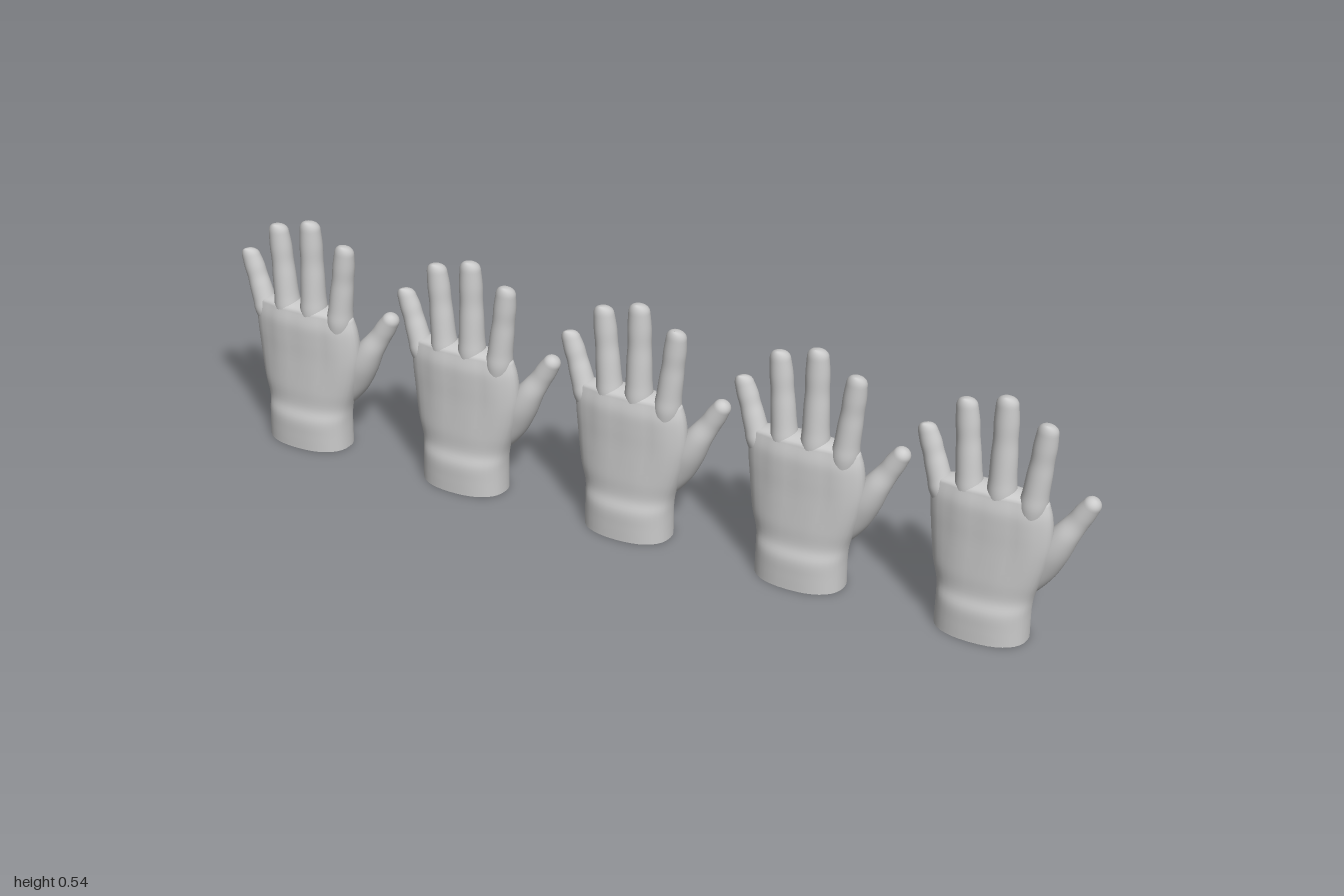
import * as THREE from 'three';

const skin = new THREE.MeshStandardMaterial({ color: 0xcccccc, side: THREE.DoubleSide });
const SIDES = 36;

// Smoothly interpolated station [x, y, z, halfWidth, halfDepth]
function stationAt(stations, t) {
  const n = stations.length - 1;
  const f = Math.min(t * n, n - 1e-9);
  const i = Math.floor(f);
  const w = f - i;
  const at = (k) => stations[Math.max(0, Math.min(n, k))];
  return stations[0].map((_, c) => {
    const a = at(i - 1)[c], b = at(i)[c], d = at(i + 1)[c], e = at(i + 2)[c];
    const m0 = (d - a) / 2, m1 = (e - b) / 2;
    return b + w * (m0 + w * (3 * (d - b) - 2 * m0 - m1 + w * (2 * (b - d) + m0 + m1)));
  });
}

// Skin of superelliptic rings along the stations, ending in a rounded tip
function sweep(stations, { steps = 30, cap = 0.02, lean = 0, power = 2, level = false, shape = null } = {}) {
  const rings = [];
  for (let i = 0; i <= steps; i++) rings.push(stationAt(stations, i / steps));
  const last = rings[steps], prev = rings[steps - 1];
  const dir = level ? new THREE.Vector2(0, 1)
    : new THREE.Vector2(last[0] - prev[0], last[1] - prev[1]).normalize();
  for (let k = 1; k <= 7; k++) {
    const a = (k / 7) * Math.PI / 2;
    const s = Math.max(Math.cos(a), 0.01);
    rings.push([last[0] + dir.x * cap * Math.sin(a), last[1] + dir.y * cap * Math.sin(a),
      last[2] + lean * (1 - s), last[3] * s, last[4] * s]);
  }

  const positions = [], index = [];
  const bend = (v) => Math.sign(v) * Math.abs(v) ** (2 / power);
  rings.forEach((r, i) => {
    const a = rings[Math.max(0, i - 1)], b = rings[Math.min(rings.length - 1, i + 1)];
    const along = level ? dir : new THREE.Vector2(b[0] - a[0], b[1] - a[1]).normalize();
    for (let j = 0; j < SIDES; j++) {
      const t = (j / SIDES) * Math.PI * 2;
      const side = r[3] * bend(Math.cos(t));
      const p = new THREE.Vector3(r[0] + along.y * side, r[1] - along.x * side, r[2] + r[4] * bend(Math.sin(t)));
      if (shape) shape(p, Math.sin(t));
      positions.push(p.x, p.y, p.z);
      if (i < rings.length - 1) {
        const q = i * SIDES + j, n = i * SIDES + (j + 1) % SIDES;
        index.push(q, q + SIDES, n, n, q + SIDES, n + SIDES);
      }
    }
  });
  const geometry = new THREE.BufferGeometry();
  geometry.setAttribute('position', new THREE.Float32BufferAttribute(positions, 3));
  geometry.setIndex(index);
  geometry.computeVertexNormals();
  return geometry;
}

// Wrist and palm outline: height, right edge, left edge, front, back
function palmGeometry() {
  const rows = [
    [0.002, -0.136, 0.062, 0.065, -0.061],
    [0.035, -0.135, 0.062, 0.065, -0.061],
    [0.07, -0.134, 0.063, 0.064, -0.060],
    [0.10, -0.137, 0.067, 0.055, -0.057],
    [0.14, -0.147, 0.080, 0.054, -0.056],
    [0.18, -0.152, 0.092, 0.052, -0.053],
    [0.22, -0.155, 0.100, 0.050, -0.046],
    [0.26, -0.157, 0.101, 0.049, -0.038],
    [0.295, -0.157, 0.098, 0.047, -0.032],
    [0.322, -0.153, 0.091, 0.040, -0.024],
  ];
  const stations = rows.map(([y, r, l, f, b]) => [(r + l) / 2, y, (f + b) / 2, (l - r) / 2, (f - b) / 2]);
  return sweep(stations, {
    steps: 40, cap: 0.015, power: 2.3, level: true,
    shape: (p, facing) => {
      const fade = THREE.MathUtils.smoothstep(p.y, 0.1, 0.28);
      if (facing > 0) {
        // Tendon ridges on the back of the hand
        p.z += 0.002 * fade * facing * Math.cos((p.x + 0.008) * Math.PI * 2 / 0.068);
      } else {
        // Hollow of the palm
        p.z += 0.008 * -facing * Math.exp(-(((p.x + 0.03) / 0.04) ** 2) - ((p.y - 0.2) / 0.06) ** 2);
      }
    },
  });
}

// Finger from its knuckle to its tip
function fingerGeometry([bx, tx, top, r, z]) {
  const base = 0.27, end = top - 0.022;
  const at = (h, w, d, dz) => [THREE.MathUtils.lerp(bx, tx, h), THREE.MathUtils.lerp(base, end, h), z + dz, r * w, r * d];
  return sweep([
    at(0, 1.1, 1.2, -0.001),
    at(0.2, 1.22, 1.3, 0.002),
    at(0.36, 1.12, 1.18, 0.002),
    at(0.55, 1.08, 1.1, 0.001),
    at(0.7, 1.0, 1.04, 0),
    at(0.85, 1.02, 1.03, 0),
    at(1, 0.92, 0.92, 0.001),
  ], { cap: 0.022, lean: 0.014 });
}

// Thumb with its fleshy base
function thumbGeometry() {
  return sweep([
    [0.012, 0.085, -0.018, 0.022, 0.030],
    [0.035, 0.125, -0.024, 0.037, 0.036],
    [0.064, 0.168, -0.024, 0.042, 0.037],
    [0.094, 0.210, -0.021, 0.036, 0.035],
    [0.119, 0.250, -0.020, 0.028, 0.028],
    [0.138, 0.280, -0.027, 0.023, 0.024],
    [0.151, 0.302, -0.030, 0.022, 0.023],
    [0.163, 0.322, -0.031, 0.019, 0.021],
  ], { cap: 0.018, lean: 0.004 });
}

export function createModel() {
  const model = new THREE.Group();
  model.name = 'rowOfHands';
  // Knuckle x, tip x, tip height, radius, depth
  const fingers = {
    littleFinger: [-0.128, -0.172, 0.435, 0.0215, 0.004],
    ringFinger: [-0.073, -0.091, 0.513, 0.0235, 0.008],
    middleFinger: [-0.008, -0.008, 0.537, 0.0245, 0.008],
    indexFinger: [0.054, 0.078, 0.499, 0.0235, 0.008],
  };
  const parts = { palm: palmGeometry(), thumb: thumbGeometry() };
  for (const name in fingers) parts[name] = fingerGeometry(fingers[name]);

  for (let i = -2; i <= 2; i++) {
    const hand = new THREE.Group();
    hand.name = 'hand' + (i + 3);
    hand.position.x = i * 0.405;
    for (const name in parts) {
      const mesh = new THREE.Mesh(parts[name], skin);
      mesh.name = name;
      hand.add(mesh);
    }
    model.add(hand);
  }
  return model;
}
